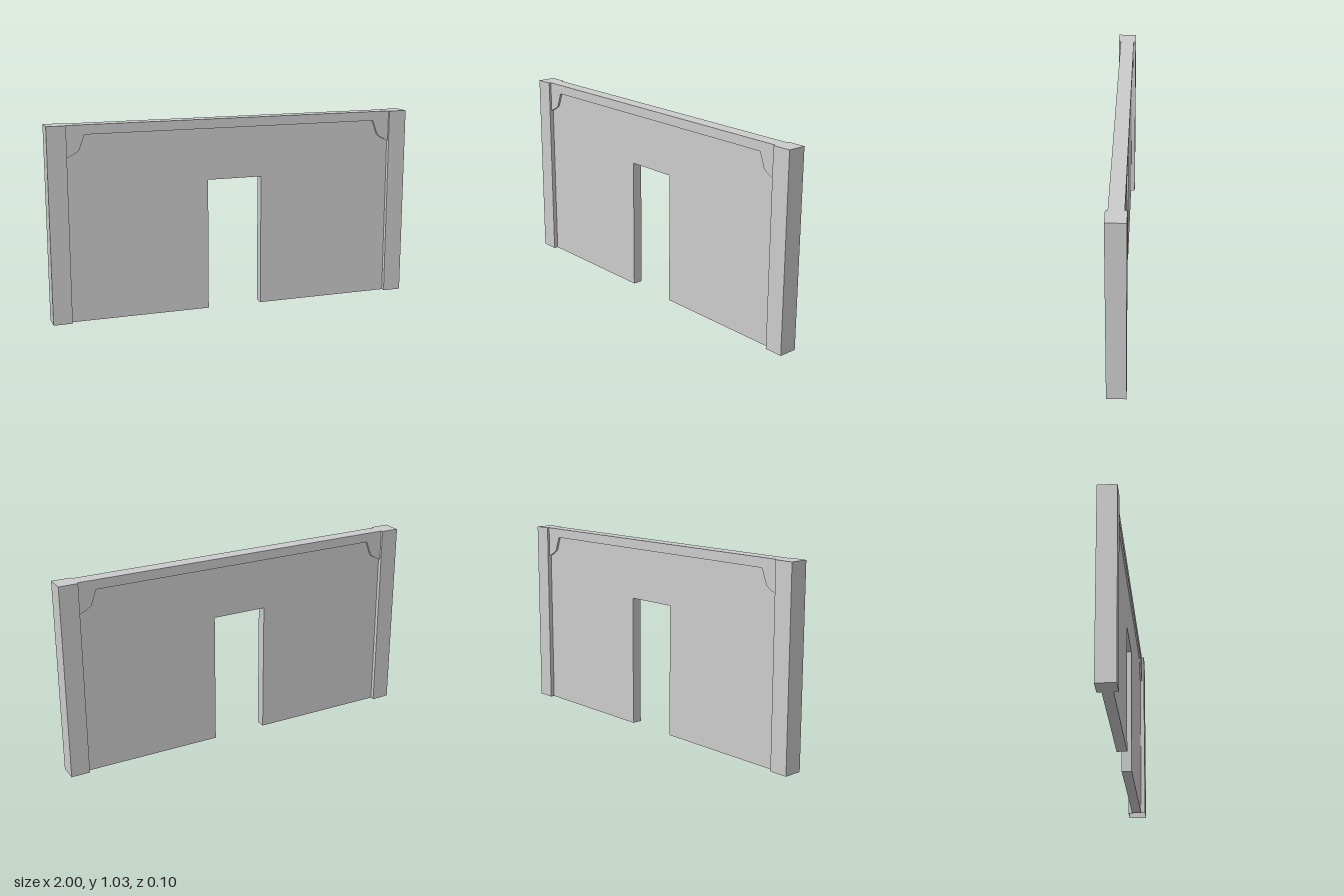
import * as THREE from 'three';

const H = 1.035; // overall height
const INNER = 0.9; // inner face of the end posts

const material = new THREE.MeshStandardMaterial({ color: 0xcccccc, flatShading: true });
const openMaterial = new THREE.MeshStandardMaterial({ color: 0xcccccc, flatShading: true, side: THREE.DoubleSide });

// Extrudes an outline evenly about z = 0
function slab(name, points, depth) {
  const shape = new THREE.Shape(points.map(([x, y]) => new THREE.Vector2(x, y)));
  const geometry = new THREE.ExtrudeGeometry(shape, { depth, bevelEnabled: false });
  geometry.translate(0, 0, -depth / 2);
  const mesh = new THREE.Mesh(geometry, material);
  mesh.name = name;
  return mesh;
}

// Completes a right-hand outline with its mirror image
const mirrored = (half) => [...half, ...half.map(([x, y]) => [-x, y]).reverse()];

export function createModel() {
  const group = new THREE.Group();
  group.name = 'wallWithDoorway';

  // Thin wall panel with a doorway open to the floor
  group.add(slab('wallPanel', mirrored([[0.15, 0.71], [0.15, 0], [INNER, 0], [INNER, H - 0.01]]), 0.054));

  // Top beam with a stepped bracket at each end
  group.add(slab('topBeam', mirrored([
    [0.805, 0.985], [0.835, 0.905], [0.86, 0.888], [INNER, 0.868], [INNER, H],
  ]), 0.076));

  // End posts; the left one is hollow and open underneath
  for (const side of [-1, 1]) {
    const geometry = new THREE.BoxGeometry(0.1, H, 0.1);
    if (side > 0) {
      const index = Array.from(geometry.index.array);
      index.splice(18, 6); // bottom face
      geometry.setIndex(index);
    }
    const post = new THREE.Mesh(geometry, side > 0 ? openMaterial : material);
    post.name = side > 0 ? 'leftPost' : 'rightPost';
    post.position.set(side * 0.95, H / 2, 0);
    group.add(post);
  }
  return group;
}
